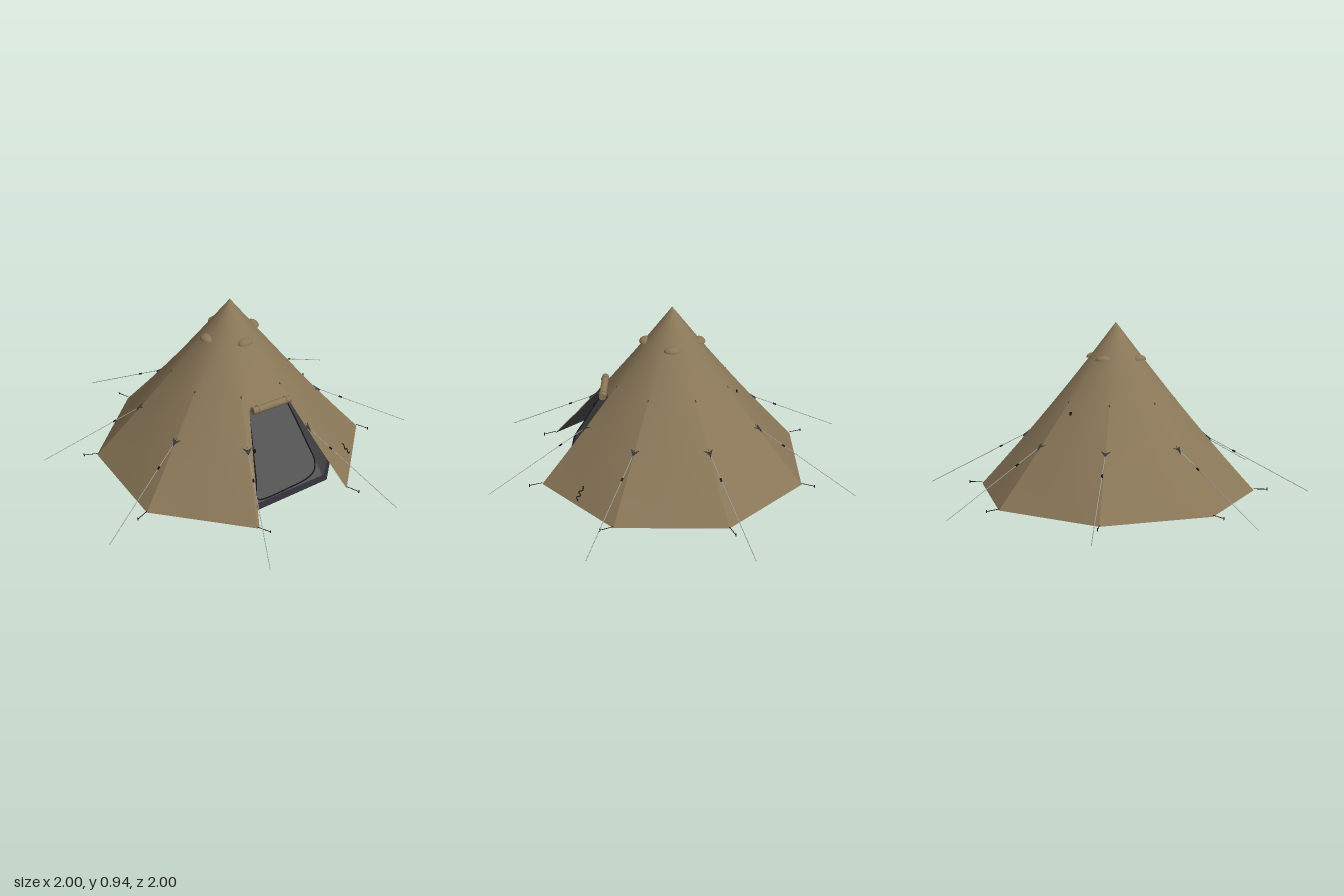
import * as THREE from 'three';
import { mergeGeometries, toCreasedNormals } from 'three/addons/utils/BufferGeometryUtils.js';

const H = 0.94, BASE = 0.72, OCT = Math.PI / 4, DOOR_TOP = 0.46;
const lerp = THREE.MathUtils.lerp;

function paint(name, color, side = THREE.FrontSide) {
  const m = new THREE.MeshStandardMaterial({ color, side });
  m.name = name;
  return m;
}

// Radius factor that turns a circle into an octagon as k goes 0 -> 1
function octFactor(theta, k) {
  const dev = theta - OCT * Math.round(theta / OCT);
  return lerp(1, 1 / Math.cos(dev), k);
}

// Canvas: octagonal at the ground, round toward the peak
const outerRadius = (theta, y) =>
  BASE * (1 - y / H) * octFactor(theta, Math.max(0, 1 - y / 0.75));
// Inner tent: octagonal, steeper, tucked below the canvas near the peak
const innerRadius = (theta, y) =>
  (y < 0.52 ? 0.6 - 0.565 * y : 0.306 * (0.85 - y) / 0.33) * octFactor(theta, 1);

// Grid of points around the axis between two angle functions
function sheet(radius, from, to, y0, y1, nu, nv) {
  const pos = [], idx = [];
  for (let j = 0; j <= nv; j++) {
    const y = lerp(y0, y1, j / nv);
    for (let i = 0; i <= nu; i++) {
      const t = lerp(from(y), to(y), i / nu), r = Math.max(0, radius(t, y));
      pos.push(Math.sin(t) * r, y, Math.cos(t) * r);
      if (i < nu && j < nv) {
        const a = j * (nu + 1) + i, d = a + nu + 1;
        idx.push(a, a + 1, d + 1, a, d + 1, d);
      }
    }
  }
  const g = new THREE.BufferGeometry();
  g.setAttribute('position', new THREE.Float32BufferAttribute(pos, 3));
  g.setIndex(idx);
  return g.toNonIndexed();
}

// Whole canvas with the door opening; reversed gives the inside face
function canvasShell(inset, reversed) {
  const r = (t, y) => outerRadius(t, y) - inset;
  const edge = (low, high) => y =>
    Math.atan2(lerp(low, high, y / DOOR_TOP), BASE * (1 - y / H));
  const c = v => () => v;
  const strip = (a, b, y0, y1, nu, nv) =>
    reversed ? sheet(r, b, a, y0, y1, nu, nv) : sheet(r, a, b, y0, y1, nu, nv);
  return toCreasedNormals(mergeGeometries([
    strip(c(OCT / 2), c(OCT * 7.5), 0, DOOR_TOP, 56, 12),
    strip(c(-OCT / 2), c(OCT * 7.5), DOOR_TOP, H, 64, 12),
    strip(c(-OCT / 2), edge(-0.285, -0.112), 0, DOOR_TOP, 2, 12),
    strip(edge(0.295, 0.144), c(OCT / 2), 0, DOOR_TOP, 2, 12),
  ]), 0.25);
}

// Straight round rod between two points
function rod(a, b, radius, sides = 6) {
  const d = b.clone().sub(a);
  const g = new THREE.CylinderGeometry(radius, radius, d.length(), sides);
  g.applyQuaternion(new THREE.Quaternion().setFromUnitVectors(
    new THREE.Vector3(0, 1, 0), d.normalize()));
  return g.translate(...a.clone().add(b).multiplyScalar(0.5).toArray());
}

export function createModel() {
  const model = new THREE.Group();
  const V = (x, y, z) => new THREE.Vector3(x, y, z);
  const canvas = paint('tan canvas', 0x8a7758);
  const lining = paint('grey lining', 0x4a4a4c);
  const inner = paint('inner wall grey', 0x3d3d40);
  const mesh = paint('door mesh grey', 0x545454, THREE.DoubleSide);
  const sillMat = paint('sill dark', 0x2e2c36);
  const floorMat = paint('floor black', 0x1c1c1e);
  const trim = paint('black trim', 0x161618);
  const patchMat = paint('patch grey', 0x37383c, THREE.DoubleSide);
  const ropeMat = paint('rope grey', 0xa8a8a8);
  const add = (name, geo, mat, parent = model) => {
    const m = new THREE.Mesh(geo, mat);
    m.name = name;
    parent.add(m);
    return m;
  };

  add('canvas', canvasShell(0, false), canvas);
  add('canvasLining', canvasShell(0.004, true), lining);

  // Inner tent with floor and sill
  const start = () => -OCT / 2, end = () => OCT * 7.5;
  add('innerTent', toCreasedNormals(mergeGeometries([
    sheet(innerRadius, start, end, 0, 0.52, 8, 1),
    sheet(innerRadius, start, end, 0.52, 0.85, 8, 1)]), 0.2), inner);
  add('sill', toCreasedNormals(
    sheet((t, y) => innerRadius(t, y) + 0.004, start, end, 0, 0.03, 8, 1), 0.2), sillMat);
  const floor = new THREE.CircleGeometry(0.6 / Math.cos(OCT / 2), 8, OCT / 2);
  add('floor', floor.rotateX(Math.PI / 2).translate(0, 0.003, 0), floorMat);

  // Mesh door panel leaning on the front wall, with a curved zip
  const onDoor = (x, y, off) => V(x, y, 0.6 - 0.565 * y + off);
  const panel = new THREE.ShapeGeometry(new THREE.Shape([
    [-0.228, 0.03], [0.228, 0.03], [0.139, 0.455], [-0.136, 0.455]
  ].map(p => new THREE.Vector2(...p))));
  const pp = panel.attributes.position;
  for (let i = 0; i < pp.count; i++) pp.setZ(i, onDoor(0, pp.getY(i), 0.005).z);
  panel.computeVertexNormals();
  add('doorPanel', panel, mesh);
  const zip = new THREE.CatmullRomCurve3([
    [-0.115, 0.43], [-0.13, 0.35], [-0.155, 0.24], [-0.182, 0.12], [-0.204, 0.055],
    [-0.185, 0.043], [0, 0.04], [0.13, 0.048], [0.185, 0.07], [0.205, 0.115],
    [0.185, 0.22], [0.155, 0.35], [0.135, 0.43]
  ].map(([x, y]) => onDoor(x, y, 0.007)));
  add('doorZip', new THREE.TubeGeometry(zip, 80, 0.004, 5), trim);
  add('zipPull', new THREE.BoxGeometry(0.012, 0.022, 0.008)
    .translate(...onDoor(-0.142, 0.27, 0.012).toArray()), trim);

  // Rolled-up door with straps
  const roll = new THREE.Group();
  roll.name = 'rolledDoor';
  roll.position.set(0.016, 0.466, 0.383);
  roll.rotation.z = -0.04;
  model.add(roll);
  add('roll', new THREE.CylinderGeometry(0.02, 0.02, 0.245, 20).rotateZ(Math.PI / 2), canvas, roll);
  for (const x of [-0.09, 0.09]) {
    add('rollStrap', new THREE.TorusGeometry(0.021, 0.003, 6, 20)
      .rotateY(Math.PI / 2).translate(x, 0, 0), canvas, roll);
  }

  // Four vent hoods near the peak
  for (let i = 0; i < 4; i++) {
    const vent = new THREE.Group();
    vent.name = 'ventHood';
    vent.rotation.y = i * Math.PI / 2;
    model.add(vent);
    add('hood', new THREE.SphereGeometry(1, 24, 8, 0, Math.PI * 2, 0, Math.PI / 2)
      .scale(0.045, 0.027, 0.036).translate(0, 0.737, 0.146), canvas, vent);
    add('hoodOpening', new THREE.CircleGeometry(1, 24).rotateX(Math.PI / 2)
      .scale(0.045, 1, 0.036).translate(0, 0.737, 0.146), lining, vent);
  }

  // Guy lines, patches and pegs; each corner is built facing +z and turned
  const pegTurn = { 0: -1.0, 1: 0.75, 7: -0.9 };
  for (let i = 0; i < 8; i++) {
    const corner = new THREE.Group();
    corner.name = 'guyCorner';
    corner.rotation.y = OCT * (i + 0.5);
    model.add(corner);
    const a = V(0, 0.292, 0.535), b = V(0, 0.003, 1.08);
    add('guyLine', rod(a, b, 0.002), ropeMat, corner);
    const patch = new THREE.BufferGeometry().setFromPoints([
      V(-0.026, 0.312, 0.498), a, V(0.026, 0.312, 0.498),
      V(0, 0.272, 0.532), a, V(0, 0.325, 0.493)]);
    patch.computeVertexNormals();
    add('guyPatch', patch, patchMat, corner);
    const p = a.clone().lerp(b, 0.22), q = a.clone().lerp(b, 0.25);
    add('guySlider', rod(p, q, 0.005), trim, corner);

    const peg = new THREE.Group();
    peg.name = 'peg';
    peg.position.set(0, 0.008, 0.778);
    peg.rotation.y = i === 7 ? 0.9 : i === 1 ? -0.75 : 0;
    corner.add(peg);
    add('pegLoop', rod(V(0, 0, 0), V(0, 0, 0.075), 0.002), trim, peg);
    add('pegHook', rod(V(0, -0.008, 0.075), V(0, 0.008, 0.075), 0.003), trim, peg);
  }

  // Small toggle cord low on the front left panel and a tab at the back
  const cord = new THREE.CatmullRomCurve3([
    [0.455, 0.085], [0.47, 0.07], [0.462, 0.055], [0.485, 0.045], [0.478, 0.03], [0.5, 0.02]
  ].map(([x, y]) => V(x, y, (BASE - 0.766 * y) * Math.SQRT2 - x + 0.003)));
  add('toggleCord', new THREE.TubeGeometry(cord, 30, 0.003, 5), trim);
  add('backTab', new THREE.BoxGeometry(0.01, 0.018, 0.008).translate(0.08, 0.47, -0.358), trim);
  return model;
}
